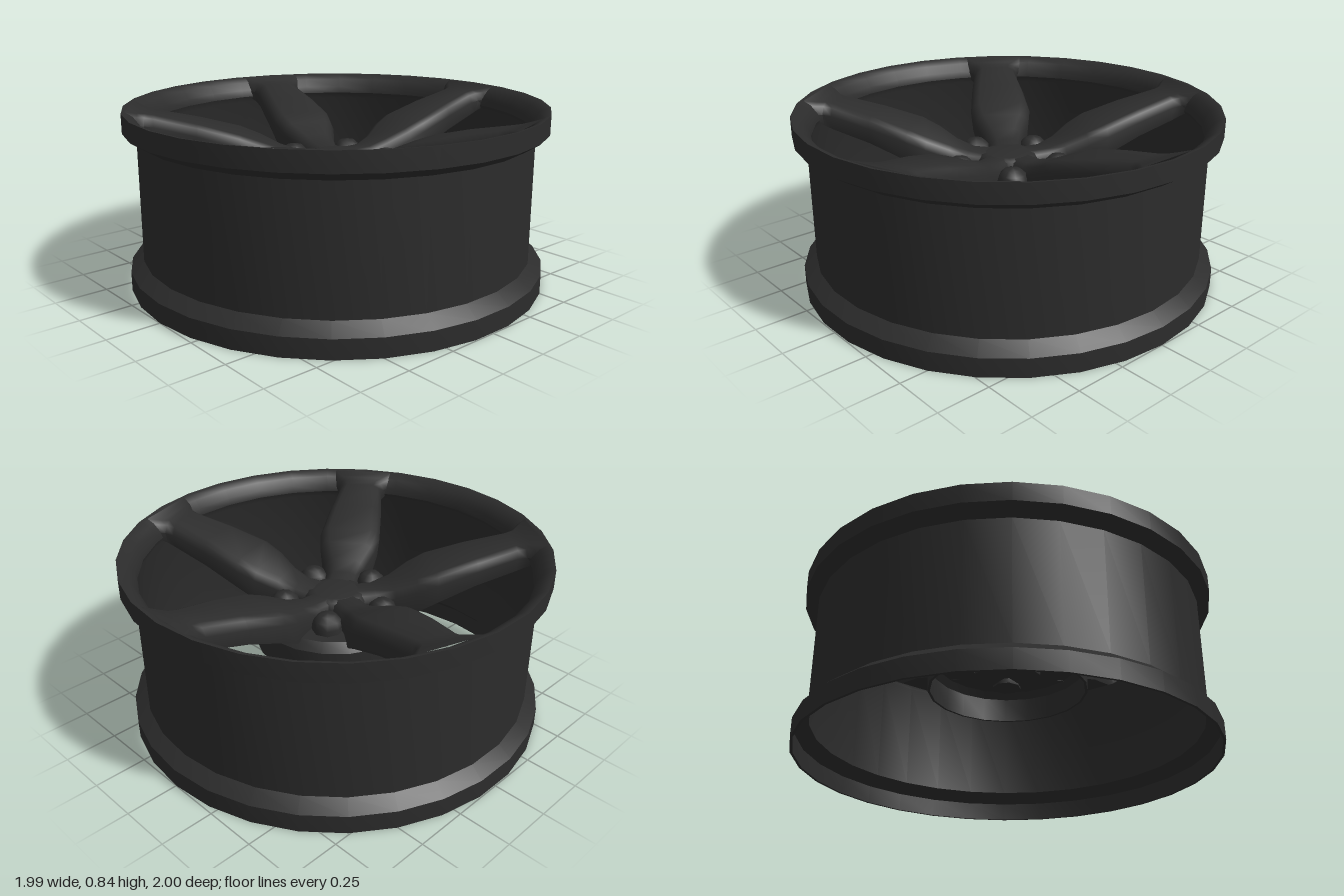
import * as THREE from 'three';
import { toCreasedNormals } from 'three/addons/utils/BufferGeometryUtils.js';

const SPOKES = 5;
const STEP = (Math.PI * 2) / SPOKES;

// Revolved part from [radius, height] pairs, listed up the outside and down the inside
function turned(points, sides, crease = 0.5) {
  const profile = points.map(([r, y]) => new THREE.Vector2(r, y));
  return toCreasedNormals(new THREE.LatheGeometry(profile, sides), crease);
}

// Arched spoke lofted along -z; each station is [radius, half width, top, bottom]
function spokeGeometry() {
  const stations = [
    [0.00, 0.085, 0.605, 0.50],
    [0.18, 0.085, 0.608, 0.50],
    [0.27, 0.102, 0.635, 0.50],
    [0.37, 0.140, 0.680, 0.52],
    [0.46, 0.155, 0.715, 0.57],
    [0.65, 0.140, 0.765, 0.64],
    [0.85, 0.117, 0.808, 0.69],
    [0.89, 0.125, 0.816, 0.71],
    [0.92, 0.155, 0.823, 0.735],
    [0.97, 0.200, 0.838, 0.785],
  ];
  const positions = [];
  const index = [];
  const n = 8;
  stations.forEach(([r, w, t, b], i) => {
    const section = [
      [-w + 0.01, b], [-w, t - 0.05], [-w + 0.018, t - 0.014], [-w + 0.045, t],
      [w - 0.045, t], [w - 0.018, t - 0.014], [w, t - 0.05], [w - 0.01, b],
    ];
    section.forEach(([x, y]) => positions.push(x, y, -r));
    if (i === 0) return;
    for (let j = 0; j < n; j++) {
      const a = (i - 1) * n + j;
      const c = (i - 1) * n + ((j + 1) % n);
      index.push(a, c, c + n, a, c + n, a + n);
    }
  });
  const geometry = new THREE.BufferGeometry();
  geometry.setAttribute('position', new THREE.Float32BufferAttribute(positions, 3));
  geometry.setIndex(index);
  return toCreasedNormals(geometry, 0.75);
}

export function createModel() {
  const wheel = new THREE.Group();
  wheel.name = 'wheelRim';
  const darkMetal = new THREE.MeshStandardMaterial({ color: 0x2c2c2c });
  darkMetal.name = 'darkMetal';

  const add = (name, geometry, parent = wheel) => {
    const mesh = new THREE.Mesh(geometry, darkMetal);
    mesh.name = name;
    parent.add(mesh);
    return mesh;
  };

  // Thin barrel with a flange at each end, hollow at the bottom one
  add('barrel', turned([
    [0.988, 0], [1, 0], [1, 0.09], [0.938, 0.14], [0.938, 0.71], [1, 0.75], [1, 0.84],
    [0.985, 0.838], [0.95, 0.815], [0.922, 0.775], [0.916, 0.74], [0.928, 0.71],
    [0.928, 0.14], [0.988, 0.09], [0.988, 0],
  ], 30));

  // Hub cup, open underneath
  add('hub', turned([
    [0.378, 0.36], [0.39, 0.36], [0.395, 0.49], [0.36, 0.53], [0, 0.53],
  ], 20));
  add('hubInside', turned([[0, 0.515], [0.355, 0.515], [0.378, 0.48], [0.378, 0.36]], 20));

  // Smooth middle where the spokes meet
  add('hubCentre', turned([[0.15, 0.53], [0.148, 0.575], [0.13, 0.6], [0.1, 0.608], [0, 0.61]], 20, 0.9));

  // Spokes, with a domed wheel nut in each gap
  const spoke = spokeGeometry();
  const nut = turned([
    [0, 0.49], [0.072, 0.49], [0.072, 0.555], [0.062, 0.585], [0.038, 0.608], [0, 0.615],
  ], 8, 0.9);
  for (let i = 0; i < SPOKES; i++) {
    const arm = new THREE.Group();
    arm.name = 'arm' + (i + 1);
    arm.rotation.y = i * STEP;
    wheel.add(arm);
    add('spoke', spoke, arm);
    const a = STEP / 2;
    add('wheelNut', nut, arm).position.set(-Math.sin(a) * 0.245, 0, -Math.cos(a) * 0.245);
  }
  return wheel;
}
